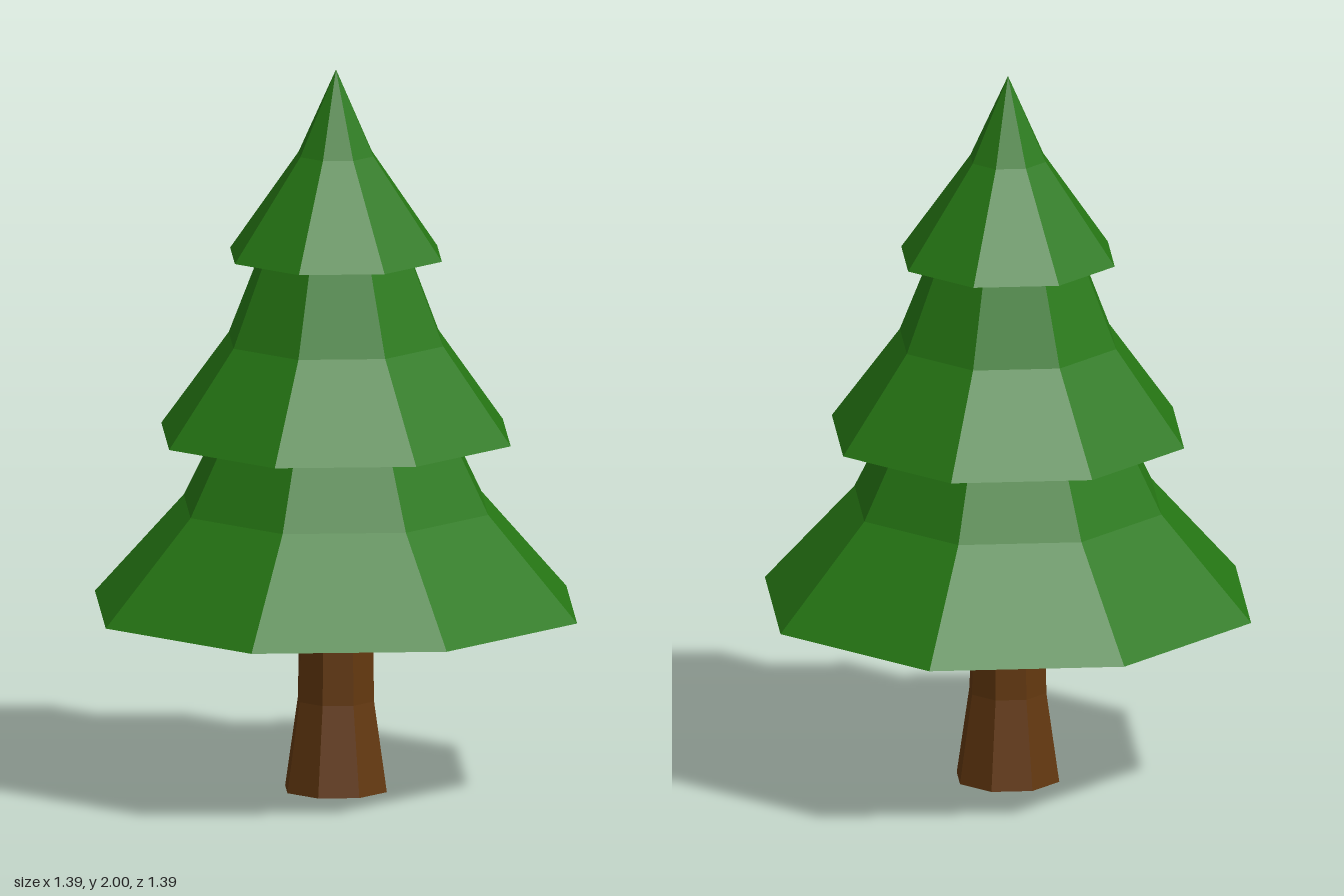
import * as THREE from 'three';

const SIDES = 8;

// Faceted solid of revolution; profile is [radius, y] from bottom to top
function faceted(name, profile, material) {
  const points = profile.map(([r, y]) => new THREE.Vector2(r, y));
  const mesh = new THREE.Mesh(new THREE.LatheGeometry(points, SIDES), material);
  mesh.name = name;
  return mesh;
}

export function createModel() {
  const tree = new THREE.Group();
  tree.name = 'pineTree';

  const bark = new THREE.MeshStandardMaterial({ color: 0x63380f, flatShading: true });
  const needles = new THREE.MeshStandardMaterial({ color: 0x267814, flatShading: true });

  // Trunk: flared foot, straight above
  tree.add(faceted('trunk', [[0, 0], [0.147, 0], [0.11, 0.25], [0.106, 0.505]], bark));

  // Foliage tiers: flat underside, wide skirt, steeper upper part
  tree.add(faceted('lowerFoliage', [[0, 0.505], [0.697, 0.505], [0.44, 0.79], [0.342, 0.985]], needles));
  tree.add(faceted('middleFoliage', [[0.342, 0.985], [0.505, 0.985], [0.31, 1.25], [0.216, 1.485]], needles));
  tree.add(faceted('topFoliage', [[0.216, 1.485], [0.306, 1.485], [0.108, 1.765], [0, 2]], needles));

  return tree;
}
